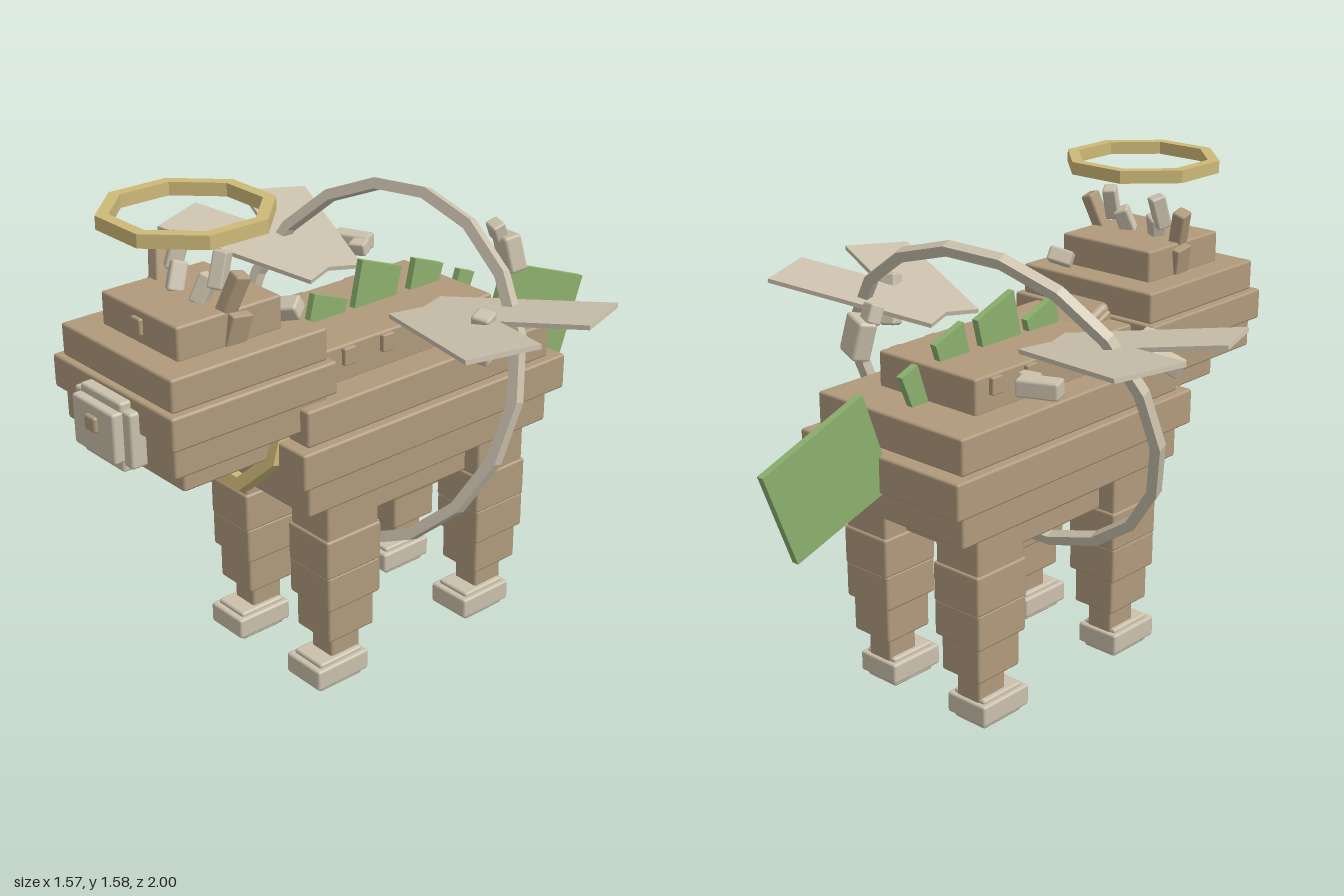
import * as THREE from 'three';
import { RoundedBoxGeometry } from 'three/addons/geometries/RoundedBoxGeometry.js';

export function createModel() {
  const group = new THREE.Group();
  const mat = (name, color) => {
    const m = new THREE.MeshStandardMaterial({ color });
    m.name = name;
    return m;
  };
  const brown = mat('hide brown', 0xb09a7c);
  const pale = mat('pale stone', 0xcac0ac);
  const gold = mat('gold', 0xcdb978);
  const green = mat('leaf green', 0x8cb06e);

  const add = (name, geometry, material, parent = group) => {
    const m = new THREE.Mesh(geometry, material);
    m.name = name;
    parent.add(m);
    return m;
  };

  // Bevelled box given by its ranges on each axis
  const block = (name, material, [x0, x1], [y0, y1], [z0, z1], parent = group) => {
    const w = x1 - x0, h = y1 - y0, d = z1 - z0;
    const g = new RoundedBoxGeometry(w, h, d, 1, Math.min(0.008, w / 4, h / 4, d / 4));
    const m = add(name, g, material, parent);
    m.position.set((x0 + x1) / 2, (y0 + y1) / 2, (z0 + z1) / 2);
    return m;
  };

  // Bevelled box given by centre, size and rotation
  const chunk = (name, material, pos, size, rot = [0, 0, 0]) => {
    const m = add(name, new RoundedBoxGeometry(...size, 1, Math.min(...size) / 6), material);
    m.position.set(...pos);
    m.rotation.set(...rot);
    return m;
  };

  // Flat-sided ring with a rectangular section, facing its normal
  const ring = (name, material, sides, outer, inner, depth, centre, normal, turn = 0) => {
    const points = (r) => Array.from({ length: sides }, (_, i) => {
      const a = turn + (i / sides) * Math.PI * 2;
      return new THREE.Vector2(Math.cos(a) * r, Math.sin(a) * r);
    });
    const shape = new THREE.Shape(points(outer));
    shape.holes.push(new THREE.Path(points(inner).reverse()));
    const g = new THREE.ExtrudeGeometry(shape, { depth, bevelEnabled: false });
    g.translate(0, 0, -depth / 2);
    const m = add(name, g, material);
    m.position.set(...centre);
    m.quaternion.setFromUnitVectors(
      new THREE.Vector3(0, 0, 1), new THREE.Vector3(...normal).normalize());
    return m;
  };

  // Upright plate in the middle plane, from (z, y) corners
  const fin = (name, corners) => {
    const shape = new THREE.Shape(corners.map(([z, y]) => new THREE.Vector2(-z, y)));
    const g = new THREE.ExtrudeGeometry(shape, { depth: 0.024, bevelEnabled: false });
    g.translate(0, 0, -0.012);
    g.rotateY(Math.PI / 2);
    return add(name, g, green);
  };

  // Stepped body
  block('bellyPlate', pale, [-0.235, 0.235], [0.615, 0.67], [-0.41, 0.42]);
  block('belly', brown, [-0.22, 0.22], [0.54, 0.62], [-0.35, 0.32]);
  block('lowerBody', brown, [-0.30, 0.30], [0.66, 0.775], [-0.52, 0.47]);
  block('middleBody', brown, [-0.33, 0.33], [0.77, 0.887], [-0.57, 0.51]);
  block('upperBody', brown, [-0.30, 0.30], [0.885, 1.0], [-0.52, 0.47]);
  block('backRidge', brown, [-0.20, 0.20], [0.995, 1.112], [-0.36, 0.36]);
  for (const s of [-1, 1])
    for (const z of [0.235, 0.085, -0.13, -0.28])
      chunk('ridgeStud', brown, [s * 0.203, 1.078, z], [0.025, 0.055, 0.045]);

  // Legs: half width, half depth, bottom, top of each step
  const steps = [
    [0.0865, 0.10, 0.53, 0.665], [0.0925, 0.107, 0.41, 0.54], [0.0925, 0.104, 0.295, 0.415],
    [0.078, 0.09, 0.175, 0.30], [0.048, 0.057, 0.08, 0.18],
  ];
  for (const s of [-1, 1]) {
    for (const z of [0.285, -0.34]) {
      const leg = new THREE.Group();
      leg.name = z > 0 ? 'frontLeg' : 'backLeg';
      leg.position.set(s * 0.195, 0, z);
      group.add(leg);
      for (const [w, d, y0, y1] of steps)
        block('legStep', brown, [-w, w], [y0, y1], [-d, d], leg);
      block('hoof', pale, [-0.078, 0.078], [0.018, 0.087], [-0.068, 0.135], leg);
      block('hoofCore', pale, [-0.064, 0.064], [0, 0.10], [-0.053, 0.115], leg);
    }
  }

  // Neck and stepped head
  chunk('neck', brown, [0, 1.07, 0.32], [0.20, 0.14, 0.16], [-0.4, 0, 0]);
  chunk('neckCollar', brown, [0, 1.10, 0.325], [0.235, 0.06, 0.08], [-0.4, 0, 0]);
  block('jaw', brown, [-0.18, 0.18], [0.822, 0.93], [0.46, 0.82]);
  block('lowerHead', brown, [-0.265, 0.265], [0.923, 1.025], [0.365, 0.905]);
  block('middleHead', brown, [-0.29, 0.29], [1.02, 1.122], [0.35, 0.925]);
  block('upperHead', brown, [-0.265, 0.265], [1.12, 1.22], [0.365, 0.905]);
  block('crown', brown, [-0.18, 0.18], [1.215, 1.32], [0.46, 0.82]);
  block('browStud', brown, [-0.022, 0.022], [1.247, 1.297], [0.81, 0.832]);

  // Muzzle
  block('muzzle', pale, [-0.135, 0.135], [0.92, 1.088], [0.90, 0.955]);
  block('muzzleBack', pale, [-0.098, 0.098], [0.90, 1.11], [0.90, 0.96]);
  block('muzzleFront', pale, [-0.10, 0.10], [0.932, 1.085], [0.94, 0.988]);
  block('nose', brown, [-0.026, 0.026], [1.005, 1.052], [0.97, 1.0]);

  // Ears and two-part horns
  for (const s of [-1, 1]) {
    chunk('ear', brown, [s * 0.17, 1.355, 0.625], [0.045, 0.15, 0.05], [-0.25, 0, -s * 0.3]);
    chunk('earRoot', brown, [s * 0.18, 1.255, 0.62], [0.03, 0.11, 0.07], [-0.15, 0, -s * 0.2]);
    chunk('hornBase', pale, [s * 0.064, 1.35, 0.64], [0.05, 0.09, 0.05], [-0.3, s * 0.5, -s * 0.2]);
    chunk('hornTip', pale, [s * 0.10, 1.41, 0.61], [0.045, 0.11, 0.05], [-0.35, s * 0.5, s * 0.08]);
  }

  // Halo, breast collar and body hoop
  ring('halo', gold, 8, 0.254, 0.216, 0.04, [0, 1.555, 0.64], [0, 1, 0], Math.PI / 8);
  ring('breastCollar', gold, 8, 0.233, 0.192, 0.045, [0, 0.90, 0.485], [0, 0.3, 1], Math.PI / 8);
  ring('hoop', pale, 18, 0.572, 0.537, 0.036, [0, 0.91, -0.03], [0.13, 0.36, 1], 0.08);

  // Two crossed wing planks on each side, rising outwards
  for (const s of [-1, 1]) {
    const wing = new THREE.Group();
    wing.name = 'wing';
    wing.position.set(s * 0.22, 1.15, -0.05);
    wing.rotation.z = s * 0.16;
    group.add(wing);
    for (const a of [-1, 1]) {
      const g = new THREE.BoxGeometry(0.57, 0.014, 0.225);
      g.translate(s * 0.285, 0, 0);
      add('wingPlank', g, pale, wing).rotation.y = a * 0.363;
    }
  }

  // Back fins and tail
  fin('backFin', [[0.23, 1.08], [0.20, 1.20], [0.07, 1.15], [0.09, 1.08]]);
  fin('backFin', [[0.05, 1.08], [0.01, 1.26], [-0.15, 1.20], [-0.12, 1.08]]);
  fin('backFin', [[-0.18, 1.08], [-0.21, 1.21], [-0.33, 1.165], [-0.30, 1.08]]);
  fin('rumpFin', [[-0.36, 0.99], [-0.405, 1.125], [-0.47, 1.10], [-0.425, 0.99]]);
  fin('tail', [[-0.515, 0.78], [-0.625, 1.09], [-1.0, 0.95], [-0.89, 0.655]]);

  // Loose floating stones
  chunk('floatingStone', pale, [-0.41, 1.13, -0.32], [0.13, 0.055, 0.065], [0, 0.4, 0]);
  chunk('floatingStone', pale, [-0.345, 1.13, -0.29], [0.06, 0.045, 0.05], [0.2, 0.4, 0]);
  chunk('floatingStone', pale, [-0.42, 1.07, 0.24], [0.12, 0.05, 0.07], [0, 0.4, 0.4]);
  chunk('floatingStone', pale, [-0.345, 1.12, 0.27], [0.06, 0.05, 0.04], [0, 0.4, 0.2]);
  chunk('floatingStone', pale, [0.48, 1.145, -0.04], [0.06, 0.17, 0.06], [0.25, 0.3, -0.18]);
  chunk('floatingStone', pale, [0.14, 1.20, -0.495], [0.10, 0.12, 0.06], [0.2, -0.3, 0.2]);
  chunk('floatingStone', pale, [0.11, 1.27, -0.467], [0.06, 0.06, 0.045], [0.4, -0.3, 0]);
  chunk('floatingStone', pale, [0.145, 1.255, 0.41], [0.08, 0.05, 0.06], [0.5, 0.5, 0]);

  return group;
}
